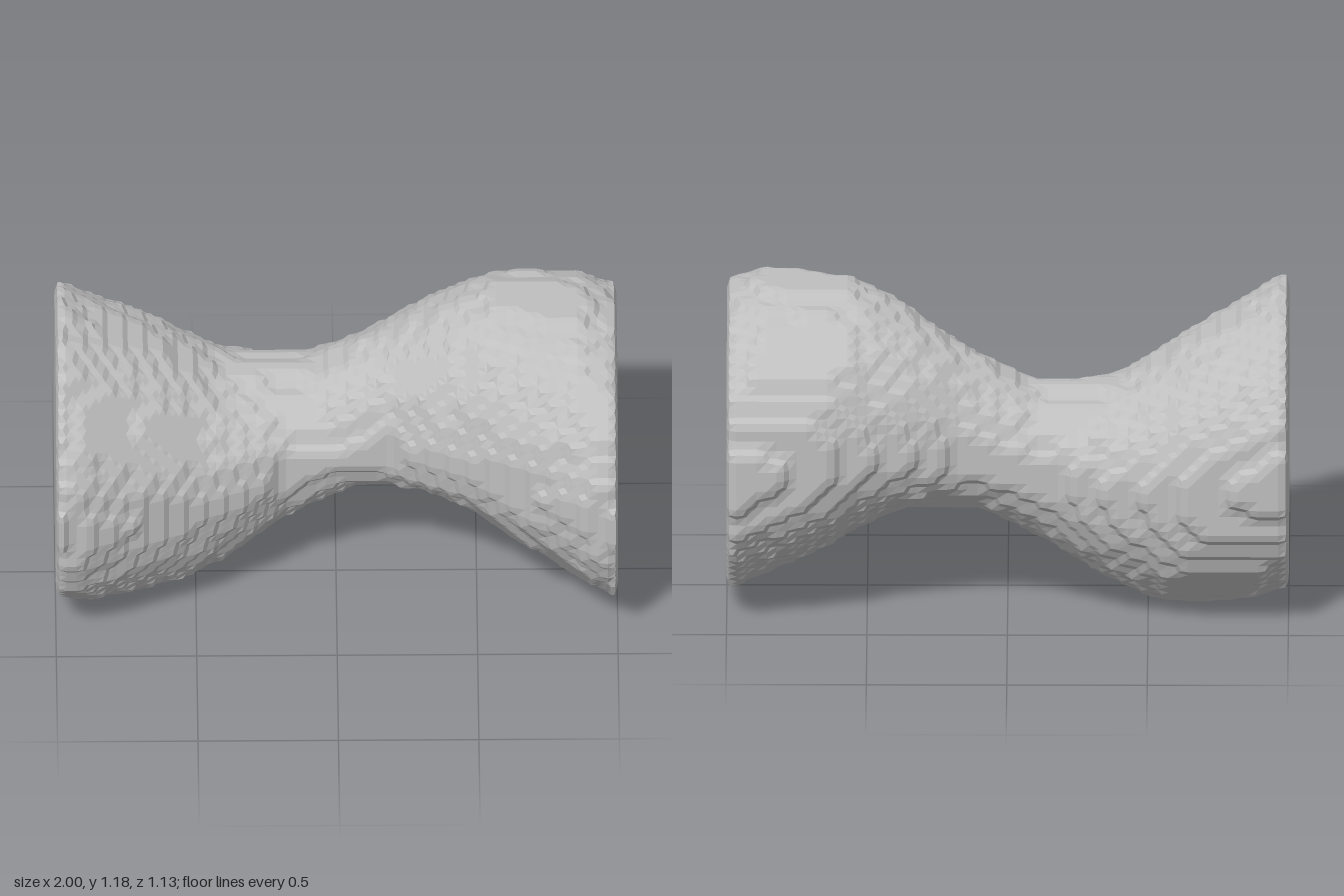
import * as THREE from 'three';

const H = 2 / 56;            // terrace step
const NX = 58, NY = 36, NZ = 36;
const HEIGHT = 33 * H;

// Outline heights and depths along the body, as [x, value]
const TOP = [[-1, 1.15], [-0.95, 1.13], [-0.8, 1.05], [-0.6, 0.94], [-0.45, 0.845], [-0.36, 0.81],
  [-0.1, 0.81], [0, 0.86], [0.2, 0.98], [0.4, 1.11], [0.55, 1.175], [0.72, 1.185], [0.88, 1.175], [1, 1.13]];
const FRONT = [[0, 0.13], [0.1, 0.135], [0.2, 0.16], [0.3, 0.22], [0.5, 0.32], [0.7, 0.43], [0.9, 0.54], [1, 0.565]];
const BACK = [[0, -0.39], [0.15, -0.395], [0.3, -0.44], [0.5, -0.49], [0.65, -0.535], [0.8, -0.555], [1, -0.57]];

function sample(table, x) {
  for (let i = 1; i < table.length; i++) {
    const [x0, v0] = table[i - 1], [x1, v1] = table[i];
    if (x <= x1) return v0 + (v1 - v0) * (x - x0) / (x1 - x0);
  }
  return table[table.length - 1][1];
}

// Each slice across x is an oval with its own radius up, down, forward and back
function makeSlice(x) {
  const top = sample(TOP, x), bottom = HEIGHT - sample(TOP, -x);
  const front = sample(FRONT, Math.abs(x)), back = sample(BACK, Math.abs(x));
  const cy = (top + bottom) / 4 + HEIGHT / 4, cz = (front + back) / 2;
  return (y, z) => {
    const v = (y - cy) / (y > cy ? top - cy : cy - bottom);
    const w = (z - cz) / (z > cz ? front - cz : cz - back);
    return v * v + w * w < 1;
  };
}

// Stepped skin: one vertex per mixed cell, one quad per crossed grid edge
function steppedGeometry() {
  const at = [i => -1 + (i - 0.5) * H, j => (j - 0.5) * H, k => (k - (NZ - 1) / 2) * H];
  const index = (i, j, k) => (i * NY + j) * NZ + k;
  const solid = new Uint8Array(NX * NY * NZ);
  for (let i = 1; i < NX - 1; i++) {
    const inside = makeSlice(at[0](i));
    for (let j = 1; j < NY - 1; j++)
      for (let k = 1; k < NZ - 1; k++)
        solid[index(i, j, k)] = inside(at[1](j), at[2](k)) ? 1 : 0;
  }

  // Average of the midpoints of the crossed edges of a cell
  const cellVertex = ([i, j, k]) => {
    const sum = [0, 0, 0];
    let count = 0;
    for (let corner = 0; corner < 8; corner++) {
      const p = [corner & 1, (corner >> 1) & 1, corner >> 2];
      for (let a = 0; a < 3; a++) {
        if (p[a]) continue;
        const q = p.slice();
        q[a] = 1;
        if (solid[index(i + p[0], j + p[1], k + p[2])] === solid[index(i + q[0], j + q[1], k + q[2])]) continue;
        for (let n = 0; n < 3; n++) sum[n] += (p[n] + q[n]) / 2;
        count++;
      }
    }
    return [at[0](i + sum[0] / count), at[1](j + sum[1] / count), at[2](k + sum[2] / count)];
  };

  const positions = [];
  for (let i = 0; i < NX - 1; i++)
    for (let j = 0; j < NY - 1; j++)
      for (let k = 0; k < NZ - 1; k++)
        for (let a = 0; a < 3; a++) {
          const next = [i, j, k];
          next[a]++;
          const here = solid[index(i, j, k)];
          if (here === solid[index(...next)]) continue;
          const b = (a + 1) % 3, c = (a + 2) % 3;
          const quad = [[-1, -1], [0, -1], [0, 0], [-1, 0]].map(([db, dc]) => {
            const cell = [i, j, k];
            cell[b] += db;
            cell[c] += dc;
            return cellVertex(cell);
          });
          if (!here) quad.reverse();
          for (const n of [0, 1, 2, 0, 2, 3]) positions.push(...quad[n]);
        }

  const geometry = new THREE.BufferGeometry();
  geometry.setAttribute('position', new THREE.Float32BufferAttribute(positions, 3));
  geometry.computeVertexNormals();
  return geometry;
}

export function createModel() {
  const model = new THREE.Group();
  model.name = 'steppedStrut';

  const stoneGrey = new THREE.MeshStandardMaterial({ color: 0xbfbfbf, flatShading: true });
  stoneGrey.name = 'stoneGrey';

  // Narrow-waisted body with flat round ends
  const body = new THREE.Mesh(steppedGeometry(), stoneGrey);
  body.name = 'waistedBody';
  model.add(body);
  return model;
}
